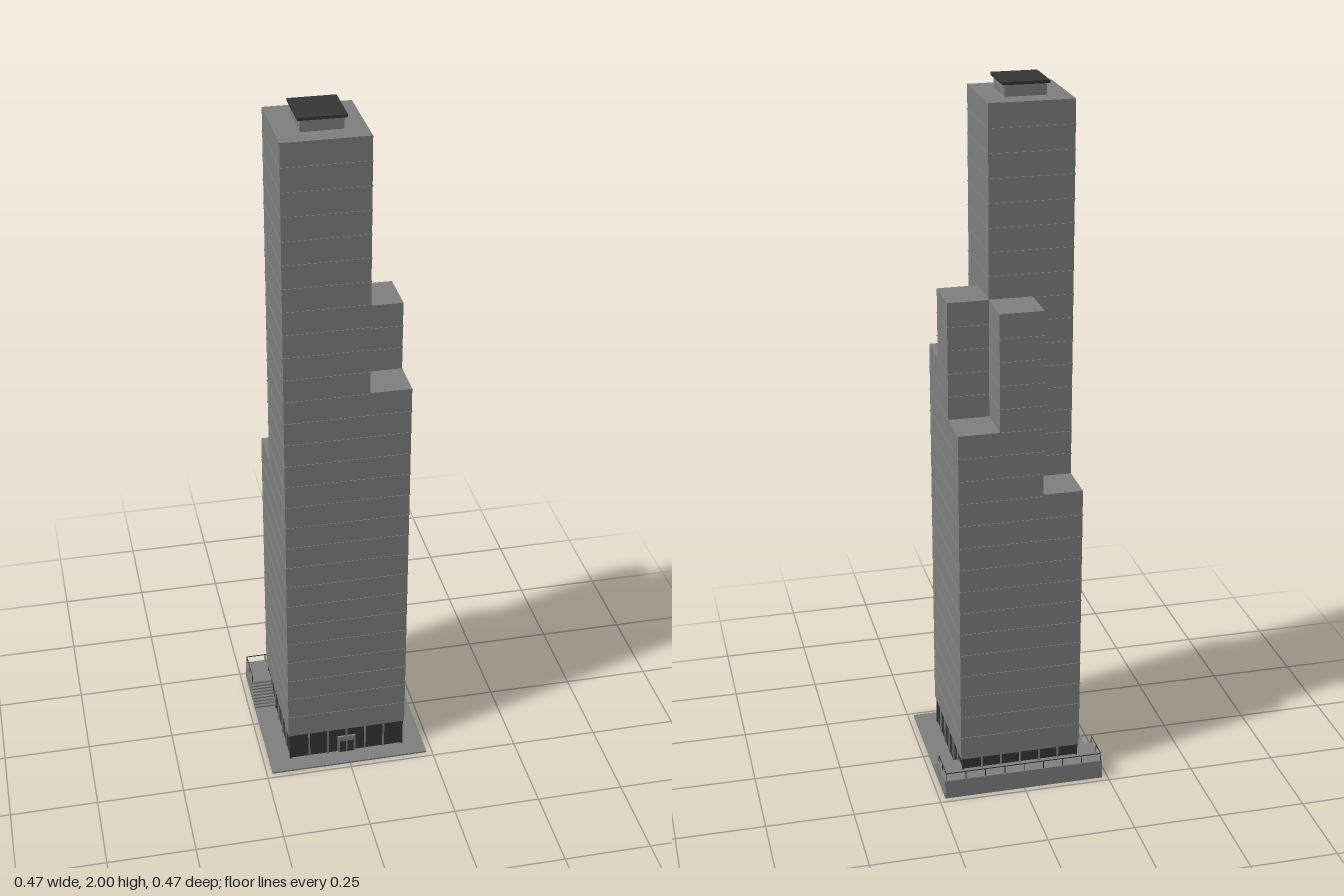
import * as THREE from 'three';

const grey = new THREE.MeshStandardMaterial({ name: 'concrete grey', color: 0x808080 });
const dark = new THREE.MeshStandardMaterial({ name: 'dark glass', color: 0x363636 });

// Box from its minimum and maximum corners
function block(parent, name, material, x0, x1, y0, y1, z0, z1) {
  const mesh = new THREE.Mesh(new THREE.BoxGeometry(x1 - x0, y1 - y0, z1 - z0), material);
  mesh.position.set((x0 + x1) / 2, (y0 + y1) / 2, (z0 + z1) / 2);
  mesh.name = name;
  parent.add(mesh);
  return mesh;
}

function group(parent, name) {
  const g = new THREE.Group();
  g.name = name;
  parent.add(g);
  return g;
}

const X = 0.175, Z = 0.185;      // tower half sizes
const XS = 0.06, ZS = -0.06;     // lines where the setbacks begin
const LOBBY = 0.095, FLOOR = 0.0666;
const EDGE = 0.233;              // plate half size
const DECK = 0.057;              // raised terrace height

export function createModel() {
  const model = new THREE.Group();
  model.name = 'steppedTower';

  // Tower volumes: name, x0, x1, z0, z1, top
  const volumes = [
    ['mainShaft', -X, XS, ZS, Z, 1.96],
    ['leftMiddleShaft', XS, X, -0.062, 0.07, 1.43],
    ['leftFrontShaft', XS, X, 0.07, Z, 1.23],
    ['leftBackShaft', XS, X, -Z, -0.062, 1.095],
    ['backMiddleShaft', -0.062, XS, -Z, ZS, 1.43],
    ['rightBackShaft', -X, -0.062, -Z, ZS, 0.9],
  ];
  const tower = group(model, 'tower');
  const ledges = group(model, 'floorLedges');
  for (const [name, x0, x1, z0, z1, top] of volumes) {
    block(tower, name, grey, x0, x1, LOBBY - 0.003, top, z0, z1);
    // Thin ledge at every floor
    const o = 0.0015;
    for (let y = LOBBY + FLOOR; y < top - 0.02; y += FLOOR) {
      block(ledges, 'floorLedge', grey, x0 - o, x1 + o, y - 0.001, y + 0.001, z0 - o, z1 + o);
    }
  }

  // Rooftop plant room with dark overhanging lid
  block(model, 'plantRoom', grey, -0.113, 0.001, 1.955, 1.992, 0.002, 0.126);
  block(model, 'plantRoomRoof', dark, -0.12, 0.008, 1.992, 2, -0.005, 0.133);

  // Glazed lobby with mullions on all four sides
  const lobby = group(model, 'lobby');
  const gx = X - 0.006, gz = Z - 0.006;
  block(lobby, 'lobbyGlass', dark, -gx, gx, 0.004, LOBBY, -gz, gz);
  const w = 0.0025;
  for (let i = 0; i <= 6; i++) {
    const x = -gx + (i / 6) * 2 * gx, z = -gz + (i / 6) * 2 * gz;
    for (const s of [-1, 1]) {
      const corner = i === 0 || i === 6;
      const m = corner ? dark : grey;
      block(lobby, 'mullion', m, x - w, x + w, 0.004, LOBBY, s * gz - 0.004, s * gz + 0.004);
      if (!corner) block(lobby, 'mullion', m, s * gx - 0.004, s * gx + 0.004, 0.004, LOBBY, z - w, z + w);
    }
  }

  // Front entrance: frame and two glass leaves
  const door = group(model, 'entrance');
  block(door, 'doorFrame', grey, -0.027, 0.027, 0.004, 0.062, gz, gz + 0.006);
  for (const s of [-1, 1]) {
    block(door, 'doorLeaf', dark, s * 0.0115 - 0.009, s * 0.0115 + 0.009, 0.006, 0.046, gz + 0.005, gz + 0.007);
  }

  // Ground plate and raised rear terrace
  block(model, 'groundPlate', grey, -EDGE, EDGE, 0, 0.005, -EDGE, EDGE);
  block(model, 'terrace', grey, -EDGE, EDGE, 0.005, DECK, -EDGE, -0.128);

  // Stairs up to the terrace on both sides
  const stairs = group(model, 'stairs');
  const steps = 8, run = 0.06 / steps;
  for (const s of [-1, 1]) {
    for (let i = 0; i < steps; i++) {
      const top = 0.005 + ((i + 1) / (steps + 1)) * (DECK - 0.005);
      const front = -0.068 - i * run;
      const a = s * 0.168, b = s * EDGE;
      block(stairs, 'step', grey, Math.min(a, b), Math.max(a, b), 0.005, top, front - run, front);
    }
  }

  // Terrace railing
  const railing = group(model, 'railing');
  const r = 0.001, rx = 0.229, rz = -0.23, railY = 0.08;
  block(railing, 'backRail', dark, -rx, rx, railY - r, railY + r, rz - r, rz + r);
  for (let i = 0; i <= 8; i++) {
    const x = -rx + (i / 8) * 2 * rx;
    block(railing, 'backPost', dark, x - r, x + r, DECK, railY, rz - r, rz + r);
  }
  for (const s of [-1, 1]) {
    block(railing, 'sideRail', dark, s * rx - r, s * rx + r, railY - r, railY + r, rz, -0.13);
    for (const z of [-0.18, -0.131]) {
      block(railing, 'sidePost', dark, s * rx - r, s * rx + r, DECK, railY, z - r, z + r);
    }
  }

  return model;
}
